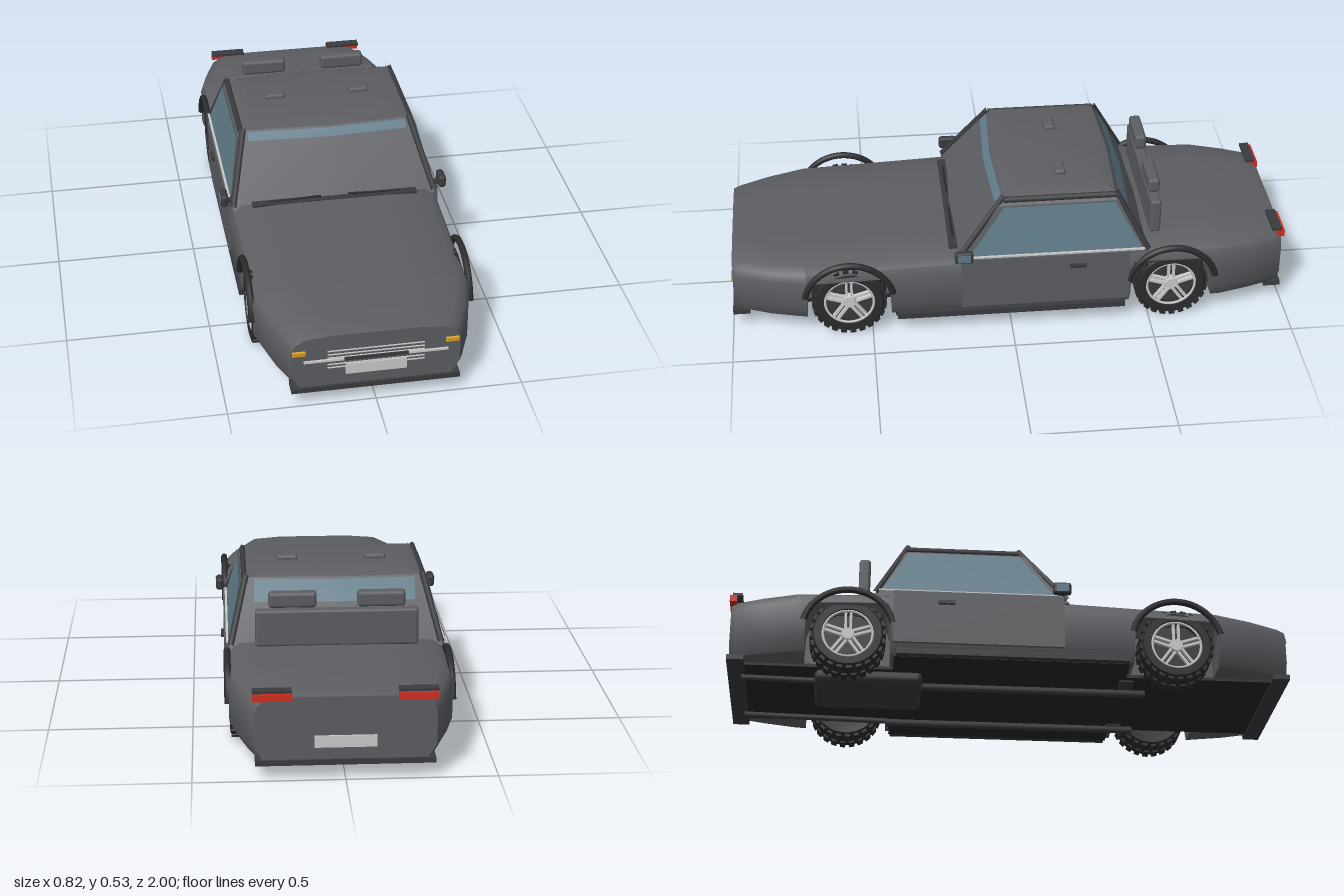
import * as THREE from 'three';
import { toCreasedNormals, mergeGeometries } from 'three/addons/utils/BufferGeometryUtils.js';
import { RoundedBoxGeometry } from 'three/addons/geometries/RoundedBoxGeometry.js';

const mat = (color, side = THREE.FrontSide) => new THREE.MeshStandardMaterial({ color, side });
const PAINT = mat(0x5c5e62), TRIM = mat(0x3a3b3e), RUBBER = mat(0x2b2c2e), FLOOR = mat(0x242527);
const GLASS = mat(0x607c8a, THREE.DoubleSide), CHROME = mat(0xcccccc), AMBER = mat(0xd9a020), RED = mat(0xd03020);

const box = (w, h, d) => new THREE.BoxGeometry(w, h, d);
const soft = (w, h, d, r) => new RoundedBoxGeometry(w, h, d, 2, r);

// Skins a list of equal-length rings; closed rings get end caps
function loft(rings, closed = true, crease = 0.6) {
  const pos = [], n = rings[0].length;
  const tri = (...p) => p.forEach(v => pos.push(...v));
  for (let i = 0; i < rings.length - 1; i++)
    for (let j = 0; j < (closed ? n : n - 1); j++) {
      const k = (j + 1) % n, a = rings[i][j], b = rings[i][k], c = rings[i + 1][k], d = rings[i + 1][j];
      tri(a, b, c);
      tri(a, c, d);
    }
  if (closed) [rings[0], rings[rings.length - 1]].forEach((ring, end) => {
    const mid = [0, 1, 2].map(c => ring.reduce((s, p) => s + p[c], 0) / n);
    ring.forEach((p, j) => {
      const q = ring[(j + 1) % n];
      end ? tri(mid, p, q) : tri(mid, q, p);
    });
  });
  const g = new THREE.BufferGeometry();
  g.setAttribute('position', new THREE.Float32BufferAttribute(pos, 3));
  return toCreasedNormals(g, crease);
}

// Straight rod between two points
function rod(a, b, r, sides = 8) {
  const path = new THREE.LineCurve3(new THREE.Vector3(...a), new THREE.Vector3(...b));
  return new THREE.TubeGeometry(path, 1, r, sides);
}

// z, half width and top height along the hull
const STATIONS = [
  [-0.99, 0.298, 0.286], [-0.97, 0.31, 0.292], [-0.88, 0.342, 0.298], [-0.76, 0.374, 0.304], [-0.45, 0.38, 0.31],
  [0.2, 0.38, 0.302], [0.73, 0.374, 0.284], [0.86, 0.34, 0.277], [0.97, 0.295, 0.272], [0.99, 0.284, 0.268]];
const AXLES = [0.58, -0.578];

function hullAt(z) {
  let i = 0;
  while (i < STATIONS.length - 2 && z > STATIONS[i + 1][0]) i++;
  const [a, b] = [STATIONS[i], STATIONS[i + 1]], t = (z - a[0]) / (b[0] - a[0]);
  return [1, 2].map(k => a[k] + (b[k] - a[k]) * t);
}

// Hull with wheel wells cut into its lower edge
function hull() {
  const R = 0.15, zs = STATIONS.map(s => s[0]);
  for (const c of AXLES) {
    for (let k = 0; k <= 16; k++) zs.push(c - R * Math.cos(Math.PI * k / 16));
    zs.push(c - R - 0.002, c + R + 0.002);
  }
  zs.sort((a, b) => a - b);
  return loft(zs.map(z => {
    const [w, top] = hullAt(z);
    let low = 0.068;
    for (const c of AXLES)
      if (Math.abs(z - c) <= R) low = Math.min(0.215, 0.14 + Math.sqrt(Math.max(0, R * R - (z - c) ** 2)));
    const half = [[0.235, 0.066], [0.235, low], [w - 0.028, low], [w, Math.min(low + 0.05, top - 0.06)],
      [w, top - 0.055], [w - 0.012, top - 0.028], [w - 0.045, top - 0.008], [w * 0.5, top]];
    return [...half.map(([x, y]) => [x, y, z]), ...half.reverse().map(([x, y]) => [-x, y, z])];
  }));
}

// Cabin rings: height, half width, front z, rear z
function cabin() {
  const levels = [[0.28, 0.37, 0.2, -0.495], [0.48, 0.325, 0.045, -0.39], [0.505, 0.305, 0.02, -0.372], [0.517, 0.26, -0.03, -0.33]];
  return loft(levels.map(([y, w, f, r]) =>
    [[w, y, f], [w, y, r], [0, y, r - 0.012], [-w, y, r], [-w, y, f], [0, y, f + 0.015]]), true, 0.35);
}

// Wheel with its axle along x, outer face towards +x
function wheel() {
  const g = new THREE.Group();
  const put = (name, geo, m) => {
    const mesh = new THREE.Mesh(geo, m);
    mesh.name = name;
    g.add(mesh);
  };
  const profile = [[0.09, -0.055], [0.118, -0.058], [0.127, -0.045], [0.127, 0.045], [0.118, 0.058], [0.092, 0.058], [0.09, 0.035], [0.09, -0.055]]
    .map(p => new THREE.Vector2(...p));
  put('tire', toCreasedNormals(new THREE.LatheGeometry(profile, 36).rotateZ(-Math.PI / 2), 0.6), RUBBER);
  const blocks = [];
  for (let i = 0; i < 24; i++)
    for (const s of [-1, 1])
      blocks.push(box(0.046, 0.01, 0.02).translate(s * 0.031, 0.128, 0).rotateX((i + s * 0.25) * Math.PI / 12));
  put('treadBlocks', mergeGeometries(blocks), RUBBER);
  put('wheelDisc', new THREE.CylinderGeometry(0.091, 0.091, 0.05, 32).rotateZ(Math.PI / 2).translate(-0.005, 0, 0), TRIM);
  put('rimRing', new THREE.TorusGeometry(0.087, 0.005, 6, 36).rotateY(Math.PI / 2).translate(0.05, 0, 0), CHROME);
  const spokes = [];
  for (let i = 0; i < 5; i++)
    for (const s of [-1, 1])
      spokes.push(box(0.014, 0.068, 0.009).translate(0.04, 0.053, s * 0.009).rotateX(i * Math.PI * 0.4));
  put('spokes', mergeGeometries(spokes), CHROME);
  put('hubCap', new THREE.CylinderGeometry(0.022, 0.027, 0.022, 16).rotateZ(-Math.PI / 2).translate(0.042, 0, 0), CHROME);
  return g;
}

export function createModel() {
  const car = new THREE.Group();
  car.name = 'car';
  const add = (name, geo, m, x = 0, y = 0, z = 0) => {
    const mesh = new THREE.Mesh(geo, m);
    mesh.name = name;
    mesh.position.set(x, y, z);
    car.add(mesh);
    return mesh;
  };

  // Body shell and underside
  add('bodyShell', hull(), PAINT);
  add('cabin', cabin(), PAINT);
  add('floorPan', box(0.48, 0.012, 1.9), FLOOR, 0, 0.064);
  add('floorCentre', box(0.71, 0.012, 0.83), FLOOR, 0, 0.064);
  add('frontLip', box(0.57, 0.018, 0.06), TRIM, 0, 0.062, 0.968);
  add('rearLip', box(0.59, 0.018, 0.06), TRIM, 0, 0.062, -0.968);
  add('fuelTank', soft(0.26, 0.045, 0.38, 0.02), TRIM, -0.115, 0.031, -0.5);

  // Tinted strips at the top of the windscreen and rear window
  add('windscreenStrip', loft([[0.478, 0.05], [0.502, 0.027]].map(([y, z]) =>
    [[-0.29, y, z + 0.004], [0, y, z + 0.018], [0.29, y, z + 0.004]]), false), GLASS);
  add('rearWindowStrip', loft([[0.43, -0.419], [0.5, -0.378]].map(([y, z]) =>
    [[-0.28, y, z - 0.006], [0, y, z - 0.017], [0.28, y, z - 0.006]]), false), GLASS);
  add('cowl', box(0.6, 0.014, 0.03), TRIM, 0, 0.298, 0.203);

  // Nose
  for (const y of [0.208, 0.194, 0.181, 0.155, 0.142]) add('grilleLine', box(0.326, 0.003, 0.008), CHROME, 0, y, 0.99);
  add('grilleBar', box(0.486, 0.008, 0.012), CHROME, 0, 0.173, 0.99);
  add('grilleCentre', box(0.216, 0.012, 0.016), TRIM, 0, 0.175, 0.99);
  for (const s of [-1, 1]) add('numberPlate', box(0.205, 0.04, 0.014), CHROME, 0, 0.133, s * 0.99);

  // Lamp rack behind the cabin
  add('rackPanel', soft(0.56, 0.13, 0.04, 0.01), PAINT, 0, 0.37, -0.526);

  for (const s of [-1, 1]) {
    // Side windows, pillars and doors
    add('sideWindow', loft([
      [[s * 0.371, 0.305, 0.15], [s * 0.371, 0.305, -0.465]],
      [[s * 0.332, 0.478, 0.025], [s * 0.332, 0.478, -0.37]]], false), GLASS);
    add('frontPillar', rod([s * 0.368, 0.292, 0.195], [s * 0.305, 0.512, 0.022], 0.011), TRIM);
    add('rearPillar', rod([s * 0.365, 0.295, -0.488], [s * 0.308, 0.512, -0.372], 0.011), TRIM);
    add('roofRail', rod([s * 0.312, 0.498, 0.024], [s * 0.312, 0.498, -0.374], 0.011), TRIM);
    add('door', box(0.012, 0.198, 0.6), PAINT, s * 0.38, 0.2, -0.12);
    add('beltLine', box(0.008, 0.006, 0.65), CHROME, s * 0.376, 0.303, -0.15);
    add('doorHandle', box(0.012, 0.013, 0.058), TRIM, s * 0.391, 0.256, -0.235);
    add('sill', box(0.025, 0.022, 0.82), TRIM, s * 0.368, 0.07, 0);

    // Mirrors
    add('mirrorHousing', soft(0.027, 0.045, 0.065, 0.01), TRIM, s * 0.398, 0.322, 0.172);
    add('mirrorArm', box(0.04, 0.012, 0.02), TRIM, s * 0.375, 0.31, 0.172);
    add('mirrorTrim', box(0.003, 0.03, 0.045), GLASS, s * 0.411, 0.322, 0.172);

    // Lamps
    add('headlight', soft(0.047, 0.021, 0.02, 0.005), AMBER, s * 0.258, 0.207, 0.985);
    add('tailLight', box(0.13, 0.024, 0.025), RED, s * 0.238, 0.286, -0.985);
    add('tailLightHood', box(0.128, 0.01, 0.035), TRIM, s * 0.238, 0.302, -0.97);
    add('roofLamp', soft(0.075, 0.024, 0.04, 0.01), PAINT, s * 0.157, 0.521, -0.19);
    add('rackLamp', soft(0.165, 0.055, 0.042, 0.012), PAINT, s * 0.152, 0.47, -0.525);

    // Wipers
    const inner = s > 0 ? 0.05 : -0.24, outer = s > 0 ? 0.24 : -0.05;
    add('wiper', rod([inner, s > 0 ? 0.311 : 0.304, 0.2], [outer, s > 0 ? 0.304 : 0.311, 0.2], 0.004, 5), RUBBER);

    // Exhaust
    add('exhaustPipe', rod([s * 0.168, 0.027, 0.49], [s * 0.168, 0.027, -0.43], 0.014), TRIM);
    add('tailPipe', rod([s * 0.168, 0.032, -0.42], [s * 0.168, 0.042, -0.95], 0.011), TRIM);
    add('exhaustHanger', box(0.09, 0.008, 0.05), TRIM, s * 0.172, 0.044, 0.42).rotation.z = s * 0.3;

    // Wheels and arch flares
    for (const z of AXLES) {
      const w = wheel();
      w.name = 'wheel';
      w.position.set(s * 0.313, 0.135, z);
      if (s < 0) w.rotation.y = Math.PI;
      car.add(w);
      const flare = new THREE.TorusGeometry(0.16, 0.012, 8, 28, Math.PI * 0.86).rotateZ(Math.PI * 0.07).rotateY(Math.PI / 2);
      add('archFlare', flare, RUBBER, s * 0.378, 0.138, z);
    }
  }
  return car;
}
